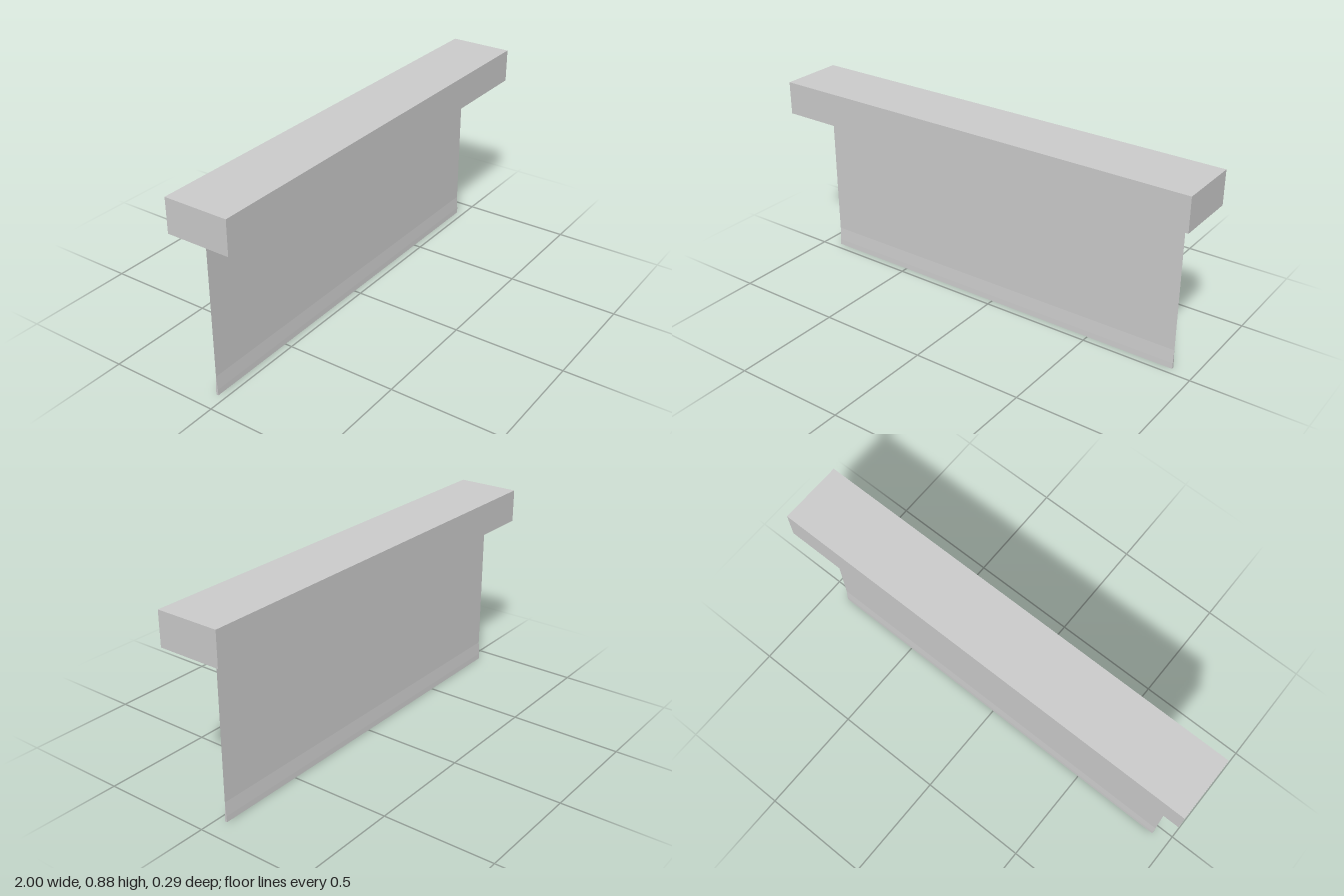
import * as THREE from 'three';

const X_MIN = -0.92, X_MAX = 0.905, SCREEN_Z = -0.038;
const HOUSING_BOTTOM = 0.73, HOUSING_TOP = 0.88, HEM_TOP = 0.088;

function addMesh(group, name, geometry, doubleSided = false) {
  const material = new THREE.MeshStandardMaterial({
    color: 0xcccccc,
    side: doubleSided ? THREE.DoubleSide : THREE.FrontSide,
  });
  const mesh = new THREE.Mesh(geometry, material);
  mesh.name = name;
  group.add(mesh);
  return mesh;
}

export function createModel() {
  const group = new THREE.Group();
  group.name = 'rollerScreen';
  const width = X_MAX - X_MIN, midX = (X_MIN + X_MAX) / 2;

  // Long box that holds the rolled-up screen
  const housingHeight = HOUSING_TOP - HOUSING_BOTTOM;
  const housing = addMesh(group, 'housing', new THREE.BoxGeometry(2, housingHeight, 0.286));
  housing.position.y = HOUSING_BOTTOM + housingHeight / 2;

  // Thin hanging sheet, visible from both sides
  const sheetHeight = HOUSING_BOTTOM - HEM_TOP;
  const sheet = addMesh(group, 'screenSheet', new THREE.PlaneGeometry(width, sheetHeight), true);
  sheet.position.set(midX, HEM_TOP + sheetHeight / 2, SCREEN_Z);

  // Weighted hem: wedge profile in (z, y), extruded along x
  const profile = new THREE.Shape([
    new THREE.Vector2(-0.0055, 0),
    new THREE.Vector2(0.0055, 0),
    new THREE.Vector2(0.0045, 0.026),
    new THREE.Vector2(0, HEM_TOP),
    new THREE.Vector2(-0.0045, 0.026),
  ]);
  const hemGeometry = new THREE.ExtrudeGeometry(profile, { depth: width, bevelEnabled: false });
  hemGeometry.translate(0, 0, -width / 2).rotateY(Math.PI / 2);
  const hem = addMesh(group, 'weightedHem', hemGeometry);
  hem.position.set(midX, 0, SCREEN_Z);

  return group;
}
